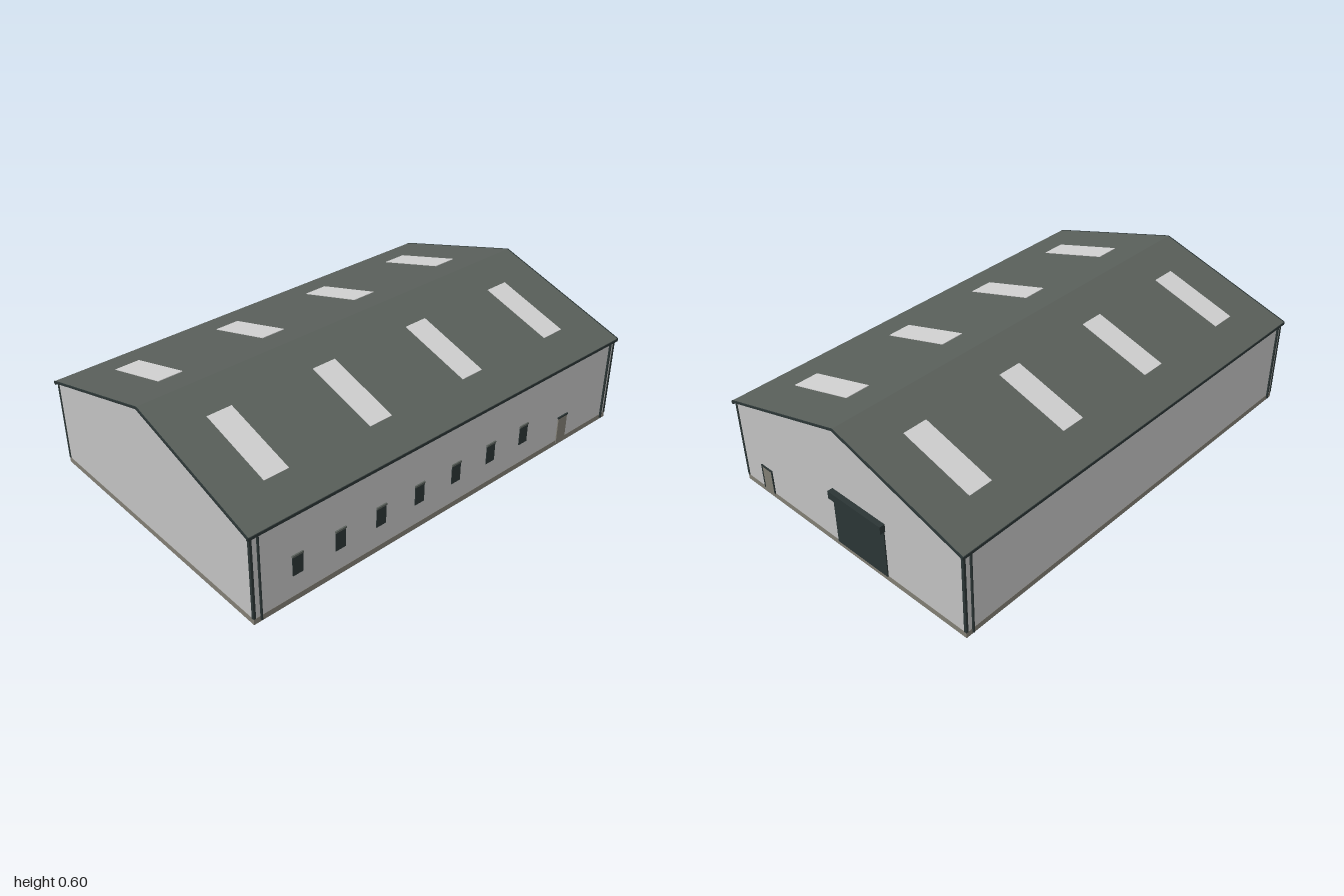
import * as THREE from 'three';

const mat = (name, color) => Object.assign(new THREE.MeshStandardMaterial({ color }), { name });

export function createModel() {
  const wall = mat('wall cladding', 0xc2c2c2);
  const roofing = mat('roof sheet', 0x595f5a);
  const trim = mat('dark trim', 0x2b3535);
  const concrete = mat('concrete', 0x817e74);
  const skylight = mat('skylight', 0xd0d0d0);

  const model = new THREE.Group();
  model.name = 'warehouse';

  const X0 = -0.984, X1 = 0.976, CX = (X0 + X1) / 2, Z = 0.636;
  const RX0 = -0.997, RX1 = 0.989, RZ = 0.645, RIDGE = 0.595, EAVE = 0.4;
  const slope = (RIDGE - EAVE) / RZ, angle = Math.atan(slope);

  const add = (name, geometry, material, parent = model) => {
    const mesh = new THREE.Mesh(geometry, material);
    mesh.name = name;
    parent.add(mesh);
    return mesh;
  };
  // Box given by its limits on each axis
  const box = (name, material, [x0, x1], [y0, y1], [z0, z1]) => {
    const mesh = add(name, new THREE.BoxGeometry(x1 - x0, y1 - y0, z1 - z0), material);
    mesh.position.set((x0 + x1) / 2, (y0 + y1) / 2, (z0 + z1) / 2);
    return mesh;
  };
  // Symmetrical z-y profile swept along x
  const sweep = (name, material, points, x0, x1) => {
    const shape = new THREE.Shape(points.map(p => new THREE.Vector2(...p)));
    const g = new THREE.ExtrudeGeometry(shape, { depth: x1 - x0, bevelEnabled: false });
    g.rotateY(Math.PI / 2).translate(x0, 0, 0);
    return add(name, g, material);
  };
  const chevron = (top, t, half) => [
    [-half, top - slope * half - t], [0, top - t], [half, top - slope * half - t],
    [half, top - slope * half], [0, top], [-half, top - slope * half],
  ];

  // Plinth and gabled walls
  box('plinth', concrete, [X0 - 0.001, X1 + 0.001], [0, 0.025], [-Z - 0.001, Z + 0.001]);
  const wallTop = RIDGE - 0.007;
  sweep('walls', wall, [
    [-Z, 0.025], [Z, 0.025], [Z, wallTop - slope * Z], [0, wallTop], [-Z, wallTop - slope * Z],
  ], X0, X1);

  // Roof sheets with dark verges at both gables
  sweep('roof', roofing, chevron(RIDGE, 0.007, RZ - 0.002), RX0 + 0.005, RX1 - 0.005);
  sweep('rightVerge', trim, chevron(RIDGE + 0.001, 0.009, RZ), RX0, RX0 + 0.005);
  sweep('leftVerge', trim, chevron(RIDGE + 0.001, 0.009, RZ), RX1 - 0.005, RX1);

  for (const s of [1, -1]) {
    const zr = (a, b) => (s > 0 ? [a, b] : [-b, -a]);
    // Gutter along the eaves
    box('gutter', trim, [RX0 + 0.001, RX1 - 0.001], [0.387, 0.399], zr(Z, RZ));
    // Skylights lying in the slope
    for (let i = 0; i < 4; i++) {
      const g = new THREE.BoxGeometry(0.11, 0.004, 0.328 / Math.cos(angle));
      const m = add('skylight', g, skylight);
      m.position.set(-0.747 + i * 0.495, RIDGE - slope * 0.321 + 0.0005, s * 0.321);
      m.rotation.x = s * angle;
    }
    // Corner flashings and downpipes
    for (const e of [1, -1]) {
      const end = e > 0 ? X1 : X0;
      const xr = (a, b) => (e > 0 ? [end - b, end - a] : [end + a, end + b]);
      box('cornerTrim', trim, xr(-0.002, 0.008), [0.025, 0.392], zr(Z - 0.01, Z + 0.002));
      const pipe = add('downpipe', new THREE.CylinderGeometry(0.005, 0.005, 0.38, 10), trim);
      pipe.position.set(end - e * 0.031, 0.2, s * (Z + 0.004));
    }
  }

  // Row of front windows with lintels
  for (let i = 0; i < 7; i++) {
    const x = -0.785 + i * 0.199;
    box('window', trim, [x - 0.024, x + 0.024], [0.12, 0.205], [Z - 0.001, Z + 0.003]);
    box('windowLintel', roofing, [x - 0.025, x + 0.025], [0.205, 0.213], [Z - 0.001, Z + 0.006]);
  }

  // Front door
  box('frontDoor', concrete, [0.639, 0.695], [0.012, 0.138], [Z - 0.001, Z + 0.004]);
  box('frontDoorLintel', trim, [0.635, 0.699], [0.137, 0.144], [Z - 0.001, Z + 0.006]);

  // Gable door with frame
  const gx = [X1 - 0.001, X1 + 0.005];
  box('sideDoor', concrete, [X1 - 0.001, X1 + 0.003], [0.012, 0.136], [0.458, 0.516]);
  box('sideDoorHead', trim, gx, [0.134, 0.141], [0.453, 0.521]);
  box('sideDoorJamb', trim, gx, [0.025, 0.134], [0.453, 0.458]);
  box('sideDoorJamb', trim, gx, [0.025, 0.134], [0.516, 0.521]);

  // Roller door and its housing
  box('rollerDoor', trim, [X1 - 0.001, X1 + 0.005], [0.023, 0.252], [-0.23, 0.052]);
  box('rollerHousing', trim, [X1 - 0.001, 1], [0.25, 0.285], [-0.235, 0.056]);

  return model;
}
